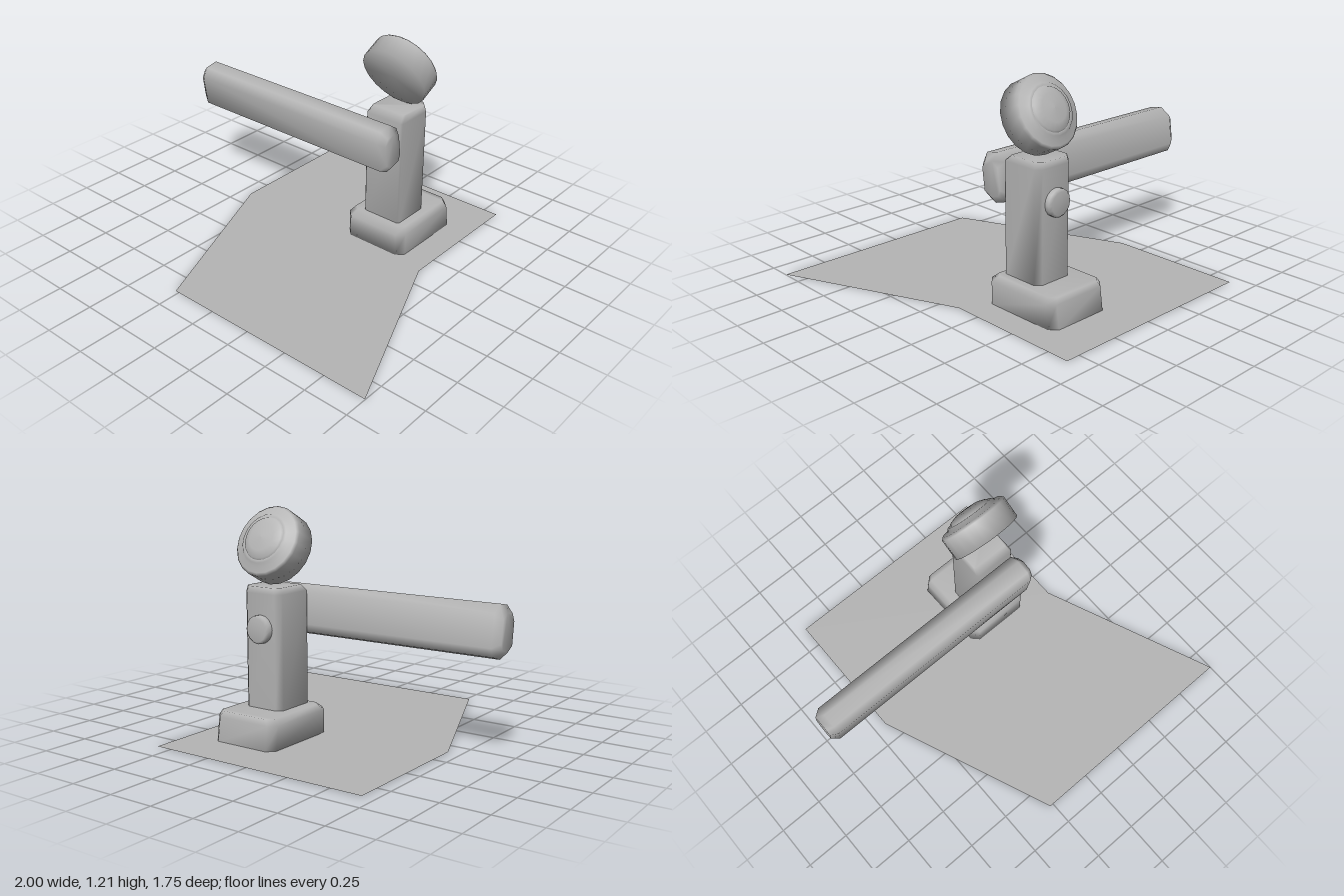
import * as THREE from 'three';

// Smooth closed solid through rings of [x, y, z] points, counter-clockwise about the loft axis
function loft(rings) {
  const n = rings[0].length, last = (rings.length - 1) * n, index = [];
  for (let i = 0; i < rings.length - 1; i++) {
    for (let j = 0; j < n; j++) {
      const k = (j + 1) % n;
      const a = i * n + j, b = i * n + k, c = b + n, d = a + n;
      index.push(a, b, c, a, c, d);
    }
  }
  for (let j = 1; j < n - 1; j++) {
    index.push(0, j + 1, j, last, last + j, last + j + 1);
  }
  const geo = new THREE.BufferGeometry();
  geo.setAttribute('position', new THREE.Float32BufferAttribute(rings.flat(2), 3));
  geo.setIndex(index);
  geo.computeVertexNormals();
  return geo;
}

// Horizontal rectangle with cut back (cb) and front (cf) corners
function cutRect(y, x0, x1, zb, zf, cb, cf) {
  return [
    [x1, y, zb + cb], [x1 - cb, y, zb], [x0 + cb, y, zb], [x0, y, zb + cb],
    [x0, y, zf - cf], [x0 + cf, y, zf], [x1 - cf, y, zf], [x1, y, zf - cf],
  ];
}

function lathe(profile, segments) {
  return new THREE.LatheGeometry(profile.map(([r, y]) => new THREE.Vector2(r, y)), segments);
}

export function createModel() {
  const group = new THREE.Group();
  const grey = new THREE.MeshStandardMaterial({ color: 0xb4b4b4 });
  grey.name = 'grey';
  const groundGrey = new THREE.MeshStandardMaterial({ color: 0xb4b4b4, side: THREE.DoubleSide });
  groundGrey.name = 'plate grey';

  const add = (name, geometry, material = grey) => {
    const mesh = new THREE.Mesh(geometry, material);
    mesh.name = name;
    group.add(mesh);
    return mesh;
  };

  // Thin bent ground plate (shape y becomes -z)
  const outline = [[-0.68, 0.88], [-0.68, 0.11], [-0.27, -0.87], [1, -0.87], [0.585, 0.11], [0.585, 0.88]];
  const plate = add('groundPlate',
    new THREE.ShapeGeometry(new THREE.Shape(outline.map(([x, y]) => new THREE.Vector2(x, y)))), groundGrey);
  plate.rotation.x = -Math.PI / 2;
  plate.position.y = 0.003;

  // Chamfered base with a sloping back
  add('base', loft([
    cutRect(0, 0.035, 0.43, -0.637, -0.15, 0.04, 0.04),
    cutRect(0.13, 0.035, 0.43, -0.618, -0.15, 0.04, 0.04),
    cutRect(0.162, 0.06, 0.405, -0.608, -0.19, 0.03, 0.03),
  ]));

  // Upright post
  add('post', loft([
    cutRect(0.15, 0.12, 0.36, -0.457, -0.212, 0.03, 0.01),
    cutRect(0.77, 0.12, 0.36, -0.457, -0.212, 0.03, 0.01),
    cutRect(0.805, 0.13, 0.35, -0.455, -0.25, 0.03, 0.01),
  ]));

  // Round button on the back of the post
  const button = add('backButton',
    lathe([[0.075, 0], [0.075, 0.03], [0.062, 0.043], [0, 0.043]], 16));
  button.rotation.x = -Math.PI / 2;
  button.position.set(0.24, 0.585, -0.453);

  // Long arm, an eight-sided bar with tapered ends; section points are [z, y]
  const section = [[-0.136, 0.79], [-0.06, 0.775], [-0.033, 0.718], [-0.056, 0.55],
    [-0.122, 0.516], [-0.2, 0.54], [-0.22, 0.587], [-0.197, 0.75]];
  const slice = (x, s) => section.map(([z, y]) => [x, 0.653 + (y - 0.653) * s, -0.127 + (z + 0.127) * s]);
  add('arm', loft([slice(-1, 0.7), slice(-0.96, 1), slice(0.335, 1), slice(0.37, 0.7)]));

  // Tilted round head with a stepped rim and a domed lens facing back
  const head = new THREE.Group();
  head.name = 'head';
  const shell = new THREE.Mesh(lathe([
    [0, 0], [0.195, 0], [0.195, 0.118], [0.182, 0.132], [0.15, 0.135], [0.135, 0.152], [0.118, 0.152],
  ], 20), grey);
  shell.name = 'headShell';
  const lens = new THREE.Mesh(lathe([
    [0.122, 0.148], [0.112, 0.162], [0.075, 0.175], [0, 0.18],
  ], 20), grey);
  lens.name = 'headLens';
  head.add(shell, lens);
  head.quaternion.setFromUnitVectors(
    new THREE.Vector3(0, 1, 0), new THREE.Vector3(0, 0.46, -0.89).normalize());
  head.position.set(0.24, 0.982, -0.287);
  group.add(head);

  return group;
}
